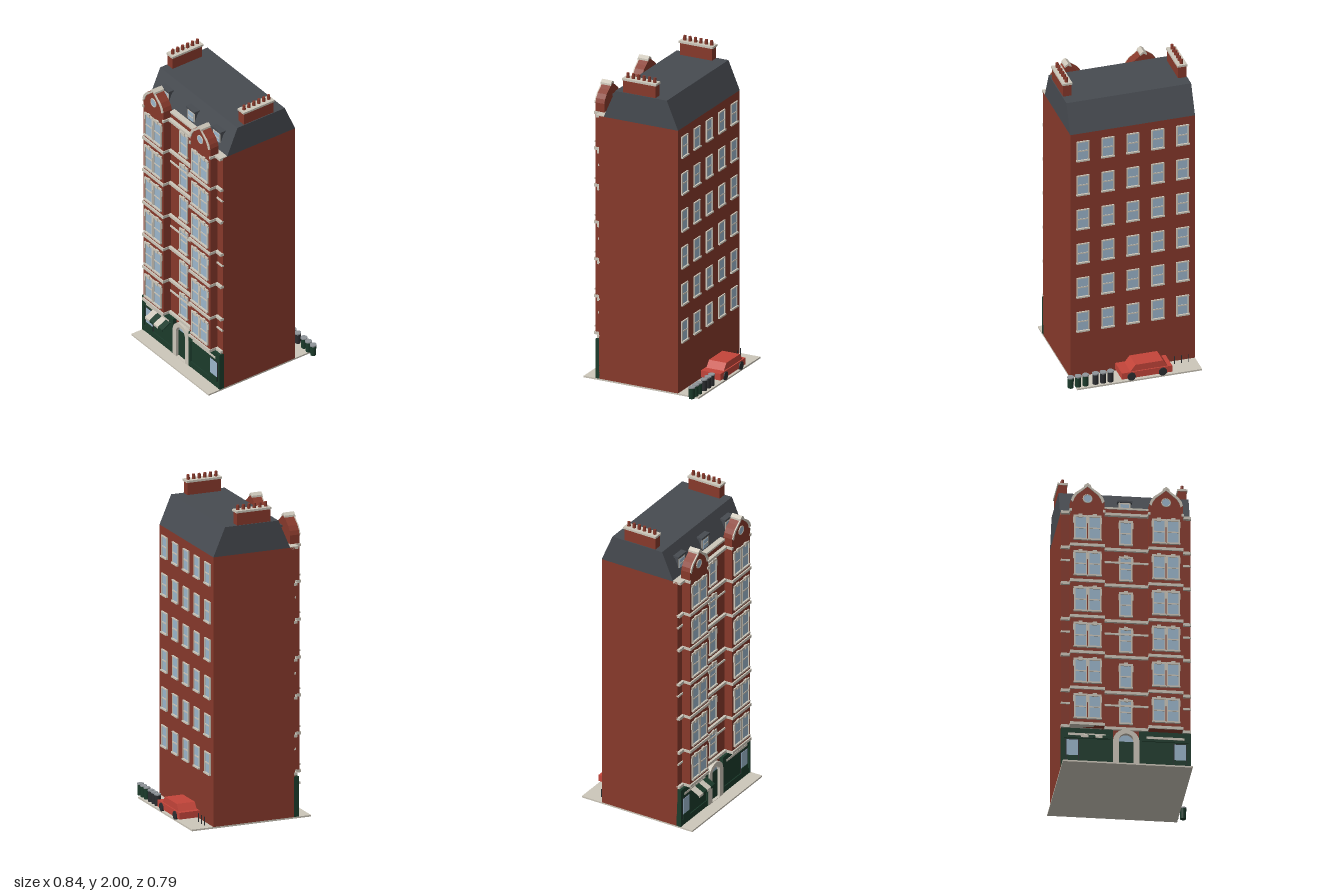
import * as THREE from 'three';

const paint = (name, color) => {
  const m = new THREE.MeshStandardMaterial({ color });
  m.name = name;
  return m;
};

export function createModel() {
  const brick = paint('brick', 0x87392b);
  const stone = paint('stone', 0xcdc7ba);
  const slate = paint('slate', 0x474b51);
  const glass = paint('glass', 0x9cb6cc);
  const green = paint('shop green', 0x1b3b2b);
  const red = paint('car red', 0xc4453a);
  const dark = paint('dark metal', 0x2c2e31);
  const grey = paint('grey metal', 0x8f9499);

  const model = new THREE.Group();
  model.name = 'mansionBlock';
  const CX = -0.026, X0 = -0.42, X1 = 0.368, WALL = 0.287, BACK = -0.251;

  const add = (parent, name, geo, mat) => {
    const m = new THREE.Mesh(geo, mat);
    m.name = name;
    parent.add(m);
    return m;
  };
  // box given by its limits on each axis
  const box = (parent, name, mat, x0, x1, y0, y1, z0, z1) => {
    const m = add(parent, name, new THREE.BoxGeometry(x1 - x0, y1 - y0, z1 - z0), mat);
    m.position.set((x0 + x1) / 2, (y0 + y1) / 2, (z0 + z1) / 2);
    return m;
  };
  const group = (parent, name, x = 0, y = 0, z = 0) => {
    const g = new THREE.Group();
    g.name = name;
    g.position.set(x, y, z);
    parent.add(g);
    return g;
  };
  const poly = pts => new THREE.Shape(pts.map(p => new THREE.Vector2(...p)));
  const extrude = (shape, depth) =>
    new THREE.ExtrudeGeometry(shape, { depth, bevelEnabled: false, curveSegments: 12 });

  // pavement, main block and mansard roof
  box(model, 'pavement', stone, X0, X1, 0, 0.01, -0.393, 0.393);
  box(model, 'mainWalls', brick, X0, X1, 0.01, 1.7, BACK, WALL);
  const roofGeo = extrude(poly([[-0.256, 1.7], [0.252, 1.7], [0.175, 1.88], [-0.178, 1.88]]), X1 - X0);
  roofGeo.rotateY(Math.PI / 2).translate(X0, 0, 0);
  add(model, 'mansardRoof', roofGeo, slate);

  // sash window standing on y = 0 and facing +z
  const sashWindow = (parent, x, y, z, h, fancy) => {
    const g = group(parent, 'sashWindow', x, y, z);
    const w = 0.036;
    box(g, 'pane', glass, -w, w, 0, h, 0, 0.003);
    for (const s of [-1, 1]) box(g, 'jamb', stone, s * w - 0.004, s * w + 0.004, 0, h, 0, 0.008);
    box(g, 'meetingRail', stone, -w, w, h / 2 - 0.004, h / 2 + 0.004, 0, 0.006);
    box(g, 'sill', stone, -0.042, 0.042, -0.01, 0, 0, 0.014);
    if (fancy) {
      box(g, 'lintel', stone, -0.042, 0.042, h, h + 0.013, 0, 0.008);
      box(g, 'keystone', stone, -0.012, 0.012, h - 0.003, h + 0.02, 0, 0.011);
      for (const s of [-1, 1]) box(g, 'quoin', stone, s * 0.039 - 0.006, s * 0.039 + 0.006, h * 0.72, h, 0, 0.007);
    } else {
      box(g, 'lintel', stone, -0.04, 0.04, h, h + 0.007, 0, 0.009);
    }
    return g;
  };

  // projecting bay with shaped gable
  const makeBay = x => {
    const bay = group(model, 'bay', x, 0, 0);
    const F = 0.341, W = 0.102;
    const edge = [[W, 1.76], [0.093, 1.785], [0.073, 1.812], [0.045, 1.832], [0.022, 1.85], [0, 1.866]];
    const mirror = pts => pts.slice(0, -1).reverse().map(([a, b]) => [-a, b]);
    const front = poly([[-W, 0.27], [W, 0.27], ...edge, ...mirror(edge)]);
    add(bay, 'bayWall', extrude(front, F - 0.28), brick).position.z = 0.28;
    // raised rim following the gable
    const inner = edge.map(([a, b]) => [a * 0.87, b - 0.012]);
    const rim = poly([...edge, ...mirror(edge), ...mirror(inner).reverse(), ...[...inner].reverse()]);
    add(bay, 'gableRim', extrude(rim, 0.007), stone).position.z = F;
    const cap = poly([[-0.022, 1.848], [0, 1.862], [0.022, 1.848], [0.02, 1.862], [0, 1.877], [-0.02, 1.862]]);
    add(bay, 'gableCap', extrude(cap, 0.071), stone).position.z = 0.279;
    add(bay, 'roundWindow', new THREE.CircleGeometry(0.025, 20), glass).position.set(0, 1.775, F + 0.003);
    add(bay, 'roundWindowRing', new THREE.TorusGeometry(0.026, 0.004, 6, 20), stone).position.set(0, 1.775, F + 0.001);
    for (let i = 0; i < 6; i++) {
      const y = 0.27 + i * 0.2375;
      box(bay, 'bayBand', stone, -W - 0.004, W + 0.004, y, y + 0.018, WALL, F + 0.009);
      for (const s of [-1, 1]) sashWindow(bay, s * 0.043, y + 0.05, F, 0.143, true);
    }
    for (const s of [-1, 1]) box(bay, 'gableFoot', stone, s * W - 0.007, s * W + 0.007, 1.688, 1.705, WALL, F + 0.006);
  };
  for (const s of [-1, 1]) makeBay(CX + s * 0.238);

  // floor bands and central windows
  for (let i = 0; i < 6; i++) {
    const y = 0.27 + i * 0.2375;
    box(model, 'floorBand', stone, X0, X1, y, y + 0.018, 0.28, 0.303);
    if (i % 2 === 0) box(model, 'thinBand', stone, X0, X1, y + 0.158, y + 0.17, 0.28, 0.294);
    sashWindow(model, CX, y + 0.05, WALL, 0.143, true);
    for (let c = -2; c <= 2; c++) {
      sashWindow(model, CX + c * 0.1575, y + 0.061, BACK, 0.121, false).rotation.y = Math.PI;
    }
  }
  // cornice and parapet
  box(model, 'cornice', stone, X0, X1, 1.688, 1.705, 0.255, 0.31);
  box(model, 'parapet', brick, CX - 0.14, CX + 0.14, 1.7, 1.738, 0.258, WALL);
  box(model, 'parapetCoping', stone, CX - 0.14, CX + 0.14, 1.738, 1.75, 0.256, 0.293);

  // roof dormers
  for (const s of [-1, 0, 1]) {
    const d = group(model, 'dormer', CX + s * 0.264, 0, 0);
    box(d, 'dormerBody', slate, -0.038, 0.038, 1.705, 1.81, 0.18, 0.234);
    box(d, 'dormerRoof', slate, -0.045, 0.045, 1.81, 1.822, 0.18, 0.242);
    box(d, 'dormerFrame', stone, -0.036, 0.036, 1.735, 1.808, 0.234, 0.238);
    box(d, 'dormerPane', glass, -0.027, 0.027, 1.74, 1.798, 0.238, 0.24);
    box(d, 'dormerRail', stone, -0.027, 0.027, 1.766, 1.772, 0.24, 0.242);
  }

  // chimney stacks with pots
  for (const s of [-1, 1]) {
    const c = group(model, 'chimney', CX + s * 0.363, 0, 0);
    box(c, 'chimneyStack', brick, -0.026, 0.026, 1.86, 1.957, -0.094, 0.127);
    box(c, 'chimneyCap', stone, -0.031, 0.031, 1.957, 1.97, -0.1, 0.132);
    for (let i = 0; i < 6; i++) {
      add(c, 'chimneyPot', new THREE.CylinderGeometry(0.009, 0.011, 0.03, 10), brick)
        .position.set(0, 1.985, -0.077 + i * 0.0367);
    }
  }

  // shopfronts either side of the entrance
  for (const s of [-1, 1]) {
    const g = group(model, 'shopfront', CX + s * 0.237, 0, 0);
    box(g, 'shopPanel', green, -0.157, 0.157, 0.01, 0.262, 0.28, 0.304);
    box(g, 'fascia', green, -0.157, 0.157, 0.198, 0.262, 0.304, 0.311);
    box(g, 'stallRiser', green, -0.157, 0.157, 0.01, 0.05, 0.304, 0.31);
    for (const e of [-0.149, 0.149]) box(g, 'pilaster', green, e - 0.008, e + 0.008, 0.01, 0.262, 0.304, 0.312);
    box(g, 'signBoard', stone, -0.115, 0.115, 0.214, 0.229, 0.311, 0.314);
    const wx = s * 0.09;
    box(g, 'shopWindowFrame', dark, wx - 0.04, wx + 0.04, 0.02, 0.192, 0.304, 0.306);
    box(g, 'shopDoorPanel', green, wx - 0.036, wx + 0.036, 0.022, 0.082, 0.306, 0.311);
    box(g, 'shopWindow', glass, wx - 0.035, wx + 0.035, 0.083, 0.186, 0.306, 0.309);
  }

  // arched entrance
  const arch = new THREE.Shape();
  arch.moveTo(-0.08, 0.01).lineTo(0.08, 0.01).lineTo(0.08, 0.188);
  arch.absarc(0, 0.188, 0.08, 0, Math.PI);
  const hole = new THREE.Path();
  hole.moveTo(-0.045, 0.012).lineTo(0.045, 0.012).lineTo(0.045, 0.195);
  hole.absarc(0, 0.195, 0.045, 0, Math.PI);
  arch.holes.push(hole);
  const entrance = group(model, 'entrance', CX, 0, WALL);
  add(entrance, 'archSurround', extrude(arch, 0.028), stone);
  box(entrance, 'frontDoor', green, -0.045, 0.045, 0.01, 0.195, 0, 0.008);
  add(entrance, 'fanlight', new THREE.CircleGeometry(0.046, 16, 0, Math.PI), glass).position.set(0, 0.195, 0.004);

  // striped awning
  const awning = group(model, 'awning', -0.307, 0.222, 0.311);
  for (let i = 0; i < 4; i++) {
    const stripe = extrude(poly([[0, 0], [0, -0.006], [-0.058, -0.036], [-0.058, -0.046], [-0.062, -0.046], [-0.062, -0.031]]), 0.0437);
    stripe.rotateY(Math.PI / 2);
    add(awning, 'awningStripe', stripe, i % 2 ? green : stone).position.x = i * 0.0437;
  }

  // parked car
  const car = group(model, 'car', 0, 0, 0);
  box(car, 'carBody', red, -0.232, 0.086, 0.024, 0.066, -0.392, -0.257);
  const cabin = poly([[-0.205, 0.066], [0.03, 0.066], [-0.002, 0.107], [-0.176, 0.107]]);
  add(car, 'carCabin', extrude(cabin, 0.119), red).position.z = -0.384;
  for (const x of [-0.172, 0.026]) for (const z of [-0.39, -0.26]) {
    const wheel = add(car, 'wheel', new THREE.CylinderGeometry(0.026, 0.026, 0.016, 16), dark);
    wheel.rotation.x = Math.PI / 2;
    wheel.position.set(x, 0.036, z);
  }

  // rear bins and posts
  [0.149, 0.196, 0.244, 0.307, 0.354, 0.401].forEach((x, i) => {
    const bin = group(model, 'bin', x, 0, -0.363);
    add(bin, 'binBody', new THREE.CylinderGeometry(0.019, 0.018, 0.066, 14), i < 3 ? dark : green).position.y = 0.043;
    add(bin, 'binLid', new THREE.CylinderGeometry(0.021, 0.021, 0.008, 14), grey).position.y = 0.08;
  });
  for (const x of [-0.366, -0.323, -0.279]) {
    add(model, 'post', new THREE.CylinderGeometry(0.003, 0.003, 0.055, 8), dark).position.set(x, 0.037, -0.287);
  }
  return model;
}
